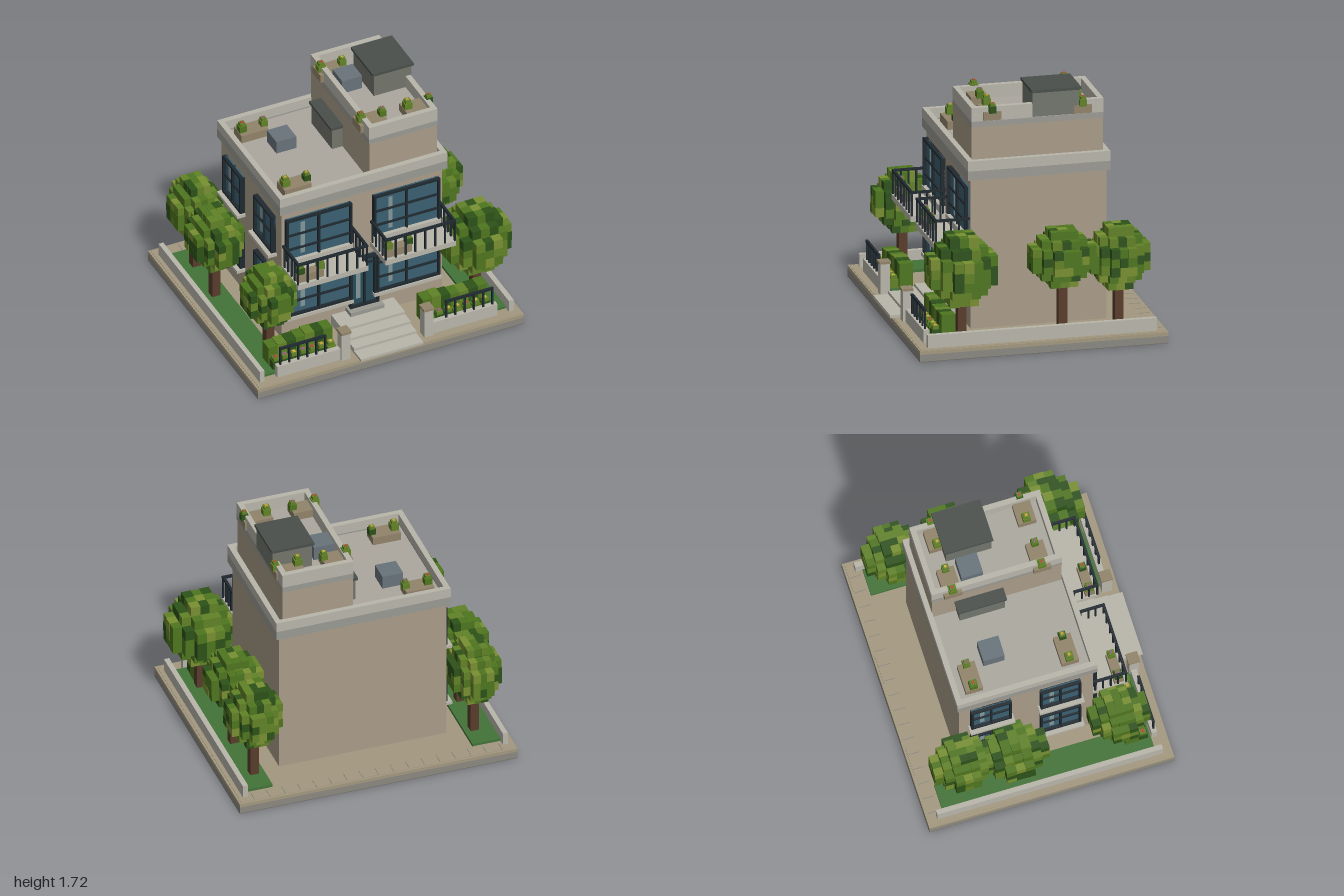
import * as THREE from 'three';
import { mergeGeometries } from 'three/addons/utils/BufferGeometryUtils.js';

const C = {
  wall: 0xa99c88, stone: 0xb8b5aa, stoneDark: 0x9a9992, pave: 0xa3987f, slab: 0x8a8880, under: 0x706c66,
  roof: 0xaba79f, frame: 0x1f292f, glass: 0x3a6072, shine: 0x82969a, door: 0x274b59, metal: 0x72756c,
  cap: 0x4a4f4b, vent: 0x68737a, planter: 0x92836a, grass: 0x427337, trunk: 0x573c2a,
  leaves: [0x4e751e, 0x618227, 0x2d5219, 0x788f31], flowers: [0xc9a03a, 0xb04a3c, 0x9a5a86, 0xd0b040],
};
const mats = {};
const mat = (c) => (mats[c] ??= new THREE.MeshStandardMaterial({ color: c, flatShading: true }));

// small seeded generator
let seed = 7;
const rnd = () => (seed = (seed * 16807) % 2147483647) / 2147483647;

// box geometry from its extents
function geo(x0, x1, y0, y1, z0, z1) {
  return new THREE.BoxGeometry(x1 - x0, y1 - y0, z1 - z0).translate((x0 + x1) / 2, (y0 + y1) / 2, (z0 + z1) / 2);
}
function add(parent, name, color, geos) {
  const m = new THREE.Mesh(Array.isArray(geos) ? mergeGeometries(geos) : geos, mat(color));
  m.name = name;
  parent.add(m);
}
const box = (p, name, color, ...e) => add(p, name, color, geo(...e));
function group(parent, name) {
  const g = new THREE.Group();
  g.name = name;
  parent.add(g);
  return g;
}

// hollow rectangular rim
function rim(x0, x1, y0, y1, z0, z1, t) {
  return [geo(x0, x1, y0, y1, z1 - t, z1), geo(x0, x1, y0, y1, z0, z0 + t),
    geo(x0, x0 + t, y0, y1, z0 + t, z1 - t), geo(x1 - t, x1, y0, y1, z0 + t, z1 - t)];
}
function parapet(p, name, x0, x1, y0, ym, y1, z0, z1) {
  add(p, name + 'Lower', C.stoneDark, rim(x0, x1, y0, ym, z0, z1, 0.038));
  add(p, name + 'Upper', C.stone, rim(x0, x1, ym, y1, z0, z1, 0.038));
}

// framed window facing +z, local origin at bottom centre on the wall
function windowUnit(p, name, w, h, rows, glass = C.glass) {
  const g = group(p, name), f = 0.016, bars = [];
  box(g, 'glass', glass, -w / 2, w / 2, 0, h, -0.01, 0.012);
  for (const s of [-1, 1]) bars.push(geo(s * (w / 2 - f / 2) - f / 2, s * (w / 2 - f / 2) + f / 2, 0, h, 0, 0.035));
  bars.push(geo(-w / 2, w / 2, 0, f, 0, 0.034), geo(-w / 2, w / 2, h - f, h, 0, 0.034));
  bars.push(geo(-0.007, 0.007, 0, h, 0, 0.03));
  for (const r of rows) bars.push(geo(-w / 2, w / 2, h * r - 0.006, h * r + 0.006, 0, 0.026));
  add(g, 'frame', C.frame, bars);
  box(g, 'glint', C.shine, -w * 0.27, -w * 0.27 + 0.032, h * 0.15, h * 0.86, 0.01, 0.015);
  return g;
}

// leafy cube with a small flower
function plant(p, x, y, z, s = 0.054) {
  const g = group(p, 'plant');
  box(g, 'leaves', C.leaves[Math.floor(rnd() * 3)], x - s / 2, x + s / 2, y, y + s, z - s / 2, z + s / 2);
  box(g, 'topLeaves', C.leaves[1], x - s * 0.36, x + s * 0.36, y + s, y + s * 1.4, z - s * 0.36, z + s * 0.36);
  const f = s * 0.18;
  box(g, 'flower', C.flowers[Math.floor(rnd() * 4)], x - f, x + f, y + s * 1.35, y + s * 1.5, z - f, z + f);
}
function planter(p, x0, x1, y, z0, z1) {
  const g = group(p, 'planter'), z = (z0 + z1) / 2;
  box(g, 'trough', C.planter, x0, x1, y, y + 0.058, z0, z1);
  plant(g, x0 + 0.03, y + 0.05, z);
  plant(g, x1 - 0.012, y + 0.05, z, 0.048);
}

// voxel-crowned tree, seven cells across each axis
function tree(p, x, z, yc, rx, ry, rz) {
  const g = group(p, 'tree'), lists = [[], [], [], []];
  const [sx, sy, sz] = [rx, ry, rz].map((r) => (r * 2) / 7);
  box(g, 'trunk', C.trunk, x - 0.03, x + 0.03, 0.09, yc, z - 0.03, z + 0.03);
  for (let i = -3; i <= 3; i++) for (let j = -3; j <= 3; j++) for (let k = -3; k <= 3; k++) {
    const d = i * i + j * j + k * k;
    if (d > 11 || d < 4) continue;
    const r = rnd(), e = 0.48 + rnd() * 0.06;
    const cx = x + i * sx, cy = yc + j * sy, cz = z + k * sz;
    lists[r < 0.4 ? 0 : r < 0.67 ? 1 : r < 0.87 ? 2 : 3].push(
      geo(cx - e * sx, cx + e * sx, cy - e * sy, cy + e * sy, cz - e * sz, cz + e * sz));
  }
  lists.forEach((l, n) => add(g, 'foliage' + (n + 1), C.leaves[n], l));
}

// straight railing along x, with evenly spaced bars
function railX(x0, x1, y0, y1, z, n) {
  const out = [geo(x0, x1, y1 - 0.016, y1, z - 0.009, z + 0.009)];
  for (let i = 0; i <= n; i++) {
    const x = x0 + 0.006 + ((x1 - x0 - 0.012) * i) / n;
    out.push(geo(x - 0.006, x + 0.006, y0, y1, z - 0.006, z + 0.006));
  }
  return out;
}

export function createModel() {
  const root = new THREE.Group();
  root.name = 'house';

  // ground
  const site = group(root, 'site');
  box(site, 'underside', C.under, -1, 0.975, 0, 0.004, -0.87, 0.85);
  box(site, 'baseSlab', C.slab, -1, 0.975, 0.004, 0.052, -0.87, 0.85);
  box(site, 'paving', C.pave, -0.985, 0.96, 0.052, 0.08, -0.855, 0.84);
  add(site, 'kerb', C.pave, rim(-1, 0.975, 0.052, 0.077, -0.87, 0.85, 0.016));
  const joints = [];
  for (let x = -0.9; x < 0.9; x += 0.11) joints.push(geo(x, x + 0.005, 0.08, 0.082, -0.85, -0.77));
  add(site, 'pavingJoints', C.slab, joints);
  add(site, 'grass', C.grass, [geo(-0.92, -0.72, 0.08, 0.1, -0.75, 0.74), geo(0.7, 0.89, 0.08, 0.1, -0.75, 0.74),
    geo(-0.72, -0.34, 0.08, 0.1, 0.64, 0.76), geo(0.31, 0.7, 0.08, 0.1, 0.64, 0.76)]);
  add(site, 'sideWalls', C.stone, [geo(-0.955, -0.92, 0.08, 0.17, -0.8, 0.785), geo(0.893, 0.93, 0.08, 0.17, -0.8, 0.785)]);

  // front garden: wall, pillar, railing, hedge and flowers on each side
  for (const [a, b, r0, r1, p0] of [[-0.825, -0.35, -0.8, -0.455, -0.356], [0.32, 0.81, 0.43, 0.785, 0.258]]) {
    const g = group(root, 'frontGarden');
    box(g, 'gardenWall', C.stone, a, b, 0.08, 0.17, 0.745, 0.785);
    box(g, 'pillar', C.stone, p0, p0 + 0.066, 0.08, 0.295, 0.735, 0.803);
    box(g, 'pillarCap', C.planter, p0 - 0.005, p0 + 0.071, 0.295, 0.312, 0.73, 0.81);
    add(g, 'railing', C.frame, railX(r0, r1, 0.17, 0.31, 0.767, 5));
    for (let i = 0; i < 7; i++) {
      const x = a + 0.03 + i * 0.068, h = 0.24 + rnd() * 0.04;
      box(g, 'hedge', C.leaves[i % 3], x - 0.034, x + 0.034, 0.08, h, 0.56, 0.655);
      plant(g, x, 0.1, 0.69, 0.06);
    }
  }

  // entrance steps
  [0.865, 0.76, 0.67, 0.58].forEach((z, i) =>
    box(root, 'entranceStep', C.stone, -0.243, 0.22, 0.079 + i * 0.02, 0.099 + i * 0.02, 0.39, z));
  box(root, 'doorstep', C.stoneDark, -0.135, 0.115, 0.155, 0.188, 0.39, 0.48);

  // main block and tower
  const b = group(root, 'building');
  box(b, 'mainWalls', C.wall, -0.61, 0.58, 0.08, 1.17, -0.54, 0.4);
  box(b, 'mainRoof', C.roof, -0.61, 0.58, 1.17, 1.185, -0.54, 0.4);
  parapet(b, 'mainParapet', -0.634, 0.607, 1.13, 1.195, 1.265, -0.56, 0.425);
  box(b, 'towerWalls', C.wall, 0.048, 0.55, 1.185, 1.515, -0.525, 0.385);
  box(b, 'towerRoof', C.roof, 0.048, 0.55, 1.515, 1.53, -0.525, 0.385);
  parapet(b, 'towerParapet', 0.045, 0.553, 1.485, 1.525, 1.622, -0.528, 0.388);

  // rooftop structures
  box(b, 'stairHouse', C.metal, 0.28, 0.56, 1.53, 1.7, -0.355, -0.035);
  box(b, 'stairHouseRoof', C.cap, 0.267, 0.572, 1.7, 1.72, -0.368, -0.025);
  box(b, 'chimney', C.metal, -0.03, 0.05, 1.185, 1.345, -0.355, -0.035);
  box(b, 'chimneyCap', C.cap, -0.042, 0.05, 1.345, 1.365, -0.368, -0.025);
  box(b, 'roofVent', C.vent, -0.388, -0.24, 1.185, 1.28, -0.3, -0.15);
  box(b, 'roofVent', C.vent, 0.1, 0.248, 1.53, 1.632, -0.3, -0.15);
  for (const z of [-0.474, 0.2]) planter(b, -0.55, -0.35, 1.185, z, z + 0.122);
  for (const z of [-0.444, 0.182]) for (const x of [0.02, 0.365]) planter(b, x, x + 0.2, 1.53, z, z + 0.124);

  // front windows, sills, balconies
  for (const x of [-0.345, 0.307]) {
    windowUnit(b, 'upperWindow', 0.49, 0.36, [0.3, 0.62]).position.set(x, 0.71, 0.4);
    box(b, 'upperSill', C.stone, x - 0.25, x + 0.25, 0.685, 0.735, 0.4, 0.44);
    windowUnit(b, 'lowerWindow', 0.49, 0.325, [0.35, 0.72]).position.set(x, 0.265, 0.4);
    box(b, 'lowerSill', C.stone, x - 0.25, x + 0.25, 0.24, 0.265, 0.4, 0.445);
    const g = group(b, 'balcony'), x0 = x - 0.262, x1 = x + 0.262;
    box(g, 'balconySlab', C.stone, x0, x1, 0.645, 0.685, 0.4, 0.645);
    const rails = railX(x0, x1, 0.685, 0.857, 0.636, 7);
    for (const xs of [x0 + 0.009, x1 - 0.009]) {
      rails.push(geo(xs - 0.009, xs + 0.009, 0.841, 0.857, 0.4, 0.636));
      for (const z of [0.42, 0.475, 0.53, 0.58]) rails.push(geo(xs - 0.006, xs + 0.006, 0.685, 0.85, z - 0.006, z + 0.006));
    }
    add(g, 'balconyRailing', C.frame, rails);
    planter(g, x - 0.25, x - 0.055, 0.685, 0.555, 0.622);
  }
  windowUnit(b, 'frontDoor', 0.215, 0.4, [0.86], C.door).position.set(-0.008, 0.188, 0.402);

  // windows on the right-hand wall
  for (const z of [-0.32, 0.167]) for (const y of [0.28, 0.74]) {
    const w = windowUnit(b, 'sideWindow', 0.285, 0.3, [0.5]);
    w.position.set(-0.61, y, z);
    w.rotation.y = -Math.PI / 2;
    box(b, 'sideSill', C.stone, -0.675, -0.61, y - 0.022, y, z - 0.157, z + 0.157);
  }

  // trees: x, z, crown height, crown radii
  for (const t of [[-0.79, -0.575, 0.58, 0.17, 0.22, 0.21], [-0.815, -0.22, 0.575, 0.175, 0.21, 0.23],
    [-0.77, 0.53, 0.585, 0.17, 0.21, 0.2], [0.775, -0.57, 0.58, 0.18, 0.22, 0.205],
    [0.78, -0.18, 0.605, 0.185, 0.195, 0.22], [0.77, 0.515, 0.57, 0.225, 0.24, 0.23]]) tree(root, ...t);

  return root;
}
